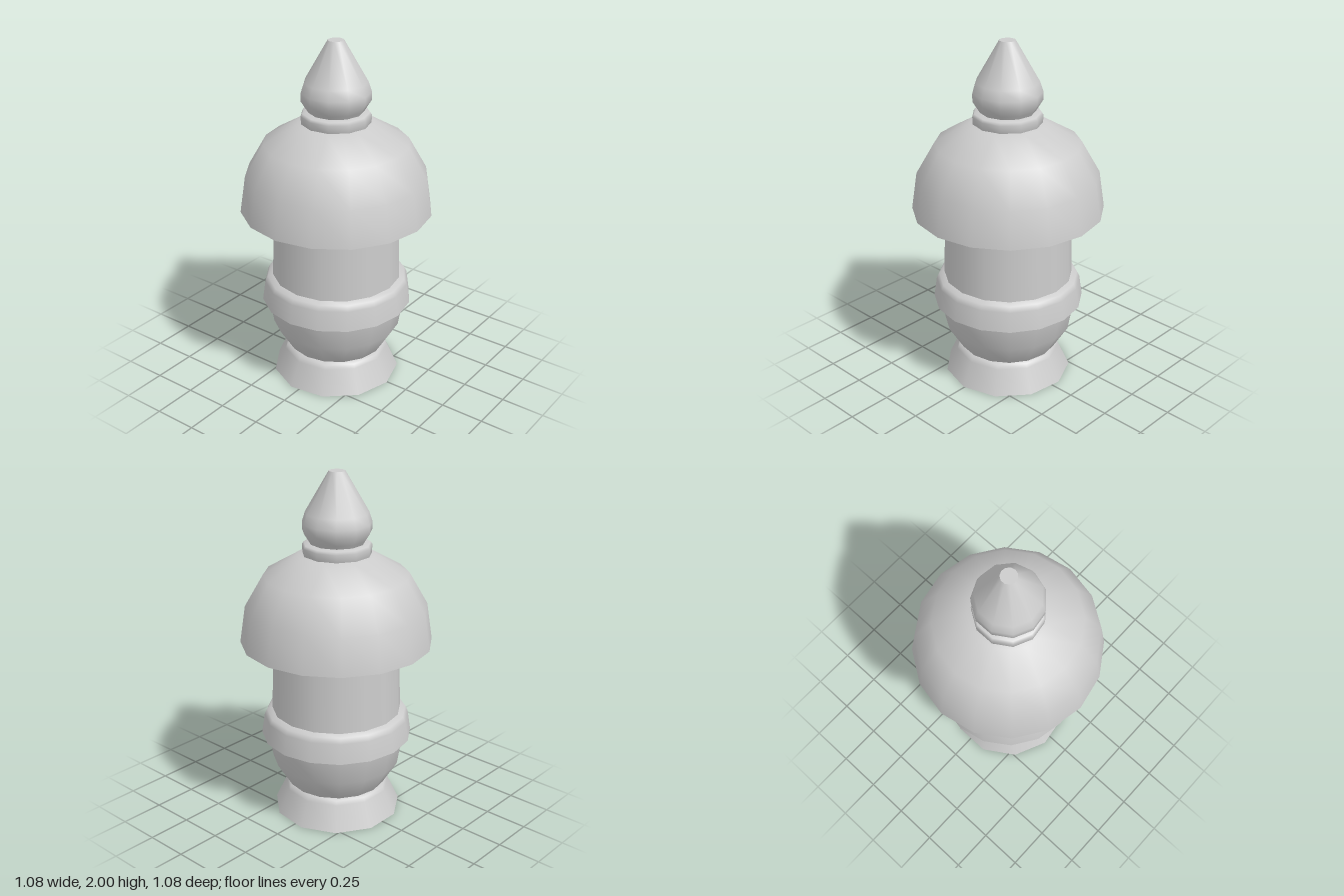
import * as THREE from 'three';

// Turns a [radius, height] profile (bottom to top) with a corner on +x
function turned(name, profile, sides, material) {
  const points = profile.map(([r, y]) => new THREE.Vector2(r, y));
  const mesh = new THREE.Mesh(new THREE.LatheGeometry(points, sides, Math.PI / 2), material);
  mesh.name = name;
  return mesh;
}

export function createModel() {
  const model = new THREE.Group();
  model.name = 'turnedPost';
  const grey = new THREE.MeshStandardMaterial({ color: 0xcccccc, side: THREE.DoubleSide });
  const add = (name, profile, sides) => {
    const mesh = turned(name, profile, sides, grey);
    model.add(mesh);
    return mesh;
  };

  // Flared foot and its underside
  add('foot', [[0.37, 0], [0.305, 0.14], [0.295, 0.165], [0.27, 0.175]], 11).position.z = 0.006;
  add('footUnderside', [[0, 0], [0.37, 0]], 11).position.z = 0.006;

  // Bowl-shaped belly
  add('belly', [[0.265, 0.175], [0.285, 0.18], [0.37, 0.32], [0.395, 0.475]], 16);

  // Band around the top of the belly
  add('bandUnderside', [[0.37, 0.475], [0.432, 0.475]], 16);
  add('band', [[0.432, 0.475], [0.415, 0.59], [0.4, 0.62], [0.36, 0.635]], 16);

  // Open neck with a gently waved rim
  const neck = add('neck', [[0.37, 0.61], [0.357, 1.0]], 16);
  const p = neck.geometry.attributes.position;
  for (let i = 0; i < p.count; i++) {
    if (p.getY(i) < 0.9) continue;
    p.setY(i, 1.002 + 0.008 * Math.cos(4 * Math.atan2(p.getX(i), p.getZ(i))));
  }

  // Hollow dome floating above the neck
  add('dome', [[0.54, 1.04], [0.508, 1.25], [0.4 * Math.SQRT2 * 0.715, 1.43], [0.21, 1.545], [0, 1.56]], 16);

  // Finial: collar, then a pointed bulb
  add('finialCollar', [[0.17, 1.525], [0.192, 1.535], [0.195, 1.59], [0.185, 1.605], [0.15, 1.61]], 11).position.z = 0.005;
  add('finialBulb', [[0.15, 1.605], [0.165, 1.63], [0.193, 1.675], [0.193, 1.72], [0.175, 1.775], [0.045, 2.0]], 11).position.z = 0.005;
  add('finialTip', [[0.045, 2.0], [0, 2.0]], 11).position.z = 0.005;

  return model;
}
